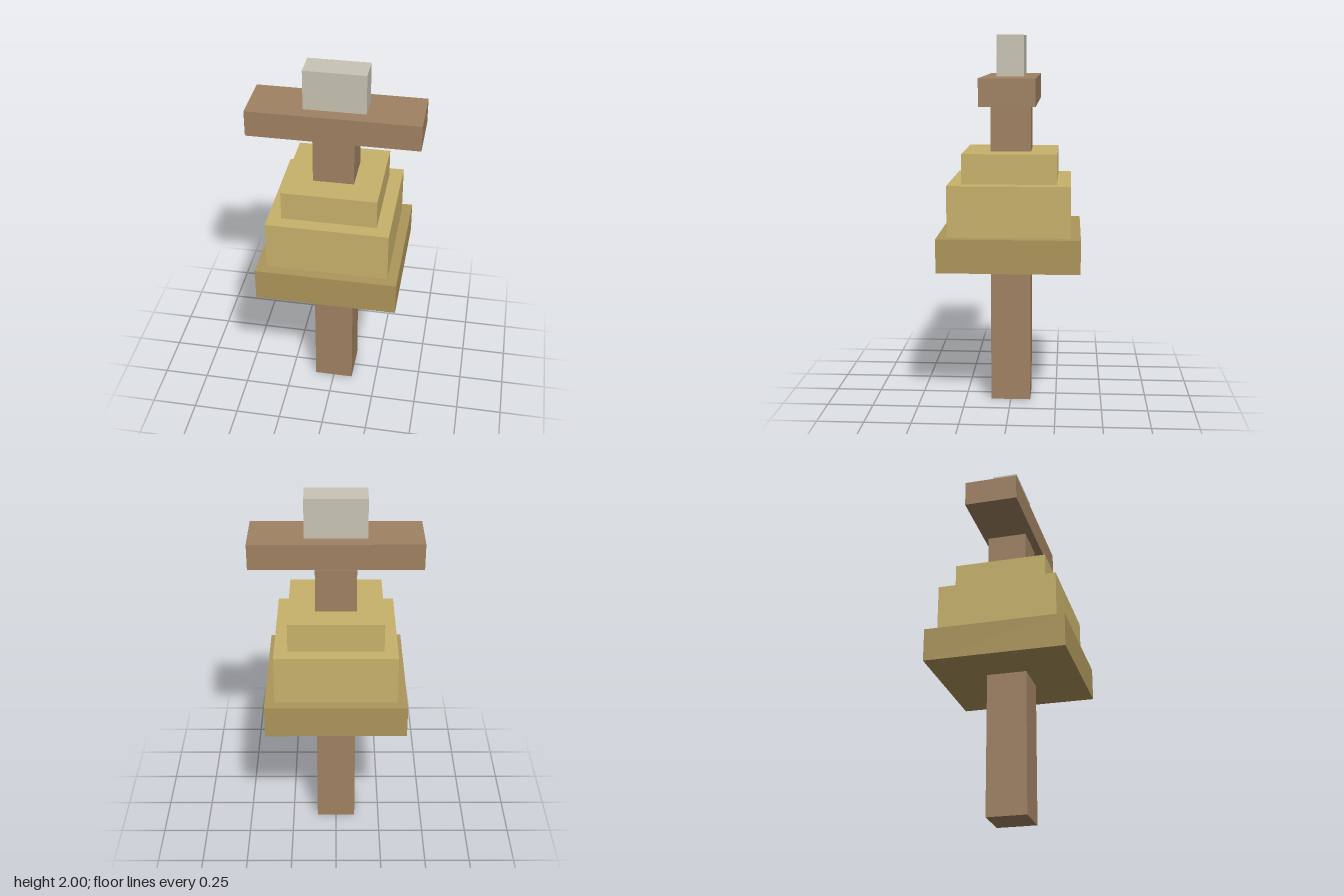
import * as THREE from 'three';

const material = (name, color) => {
  const m = new THREE.MeshStandardMaterial({ color });
  m.name = name;
  return m;
};

export function createModel() {
  const wood = material('wood brown', 0xa08262);
  const straw = material('straw', 0xc8b26b);
  const darkStraw = material('dark straw', 0xae965b);
  const stone = material('pale grey', 0xc8c4b4);

  const model = new THREE.Group();
  model.name = 'strawPost';

  // Box centred on the vertical axis, spanning y0 to y1
  const block = (name, mat, width, depth, y0, y1) => {
    const mesh = new THREE.Mesh(new THREE.BoxGeometry(width, y1 - y0, depth), mat);
    mesh.name = name;
    mesh.position.y = (y0 + y1) / 2;
    model.add(mesh);
  };

  // Upright
  block('post', wood, 0.217, 0.217, 0, 1.624);

  // Stepped bundle around the post
  block('lowerTier', darkStraw, 0.754, 0.754, 0.777, 0.957);
  block('middleTier', straw, 0.647, 0.647, 0.957, 1.228);
  block('upperTier', straw, 0.503, 0.503, 1.228, 1.387);

  // Crossbar floats just above the post, with a block on top
  block('crossbar', wood, 0.9, 0.287, 1.645, 1.786);
  block('topBlock', stone, 0.325, 0.143, 1.786, 2);

  return model;
}
